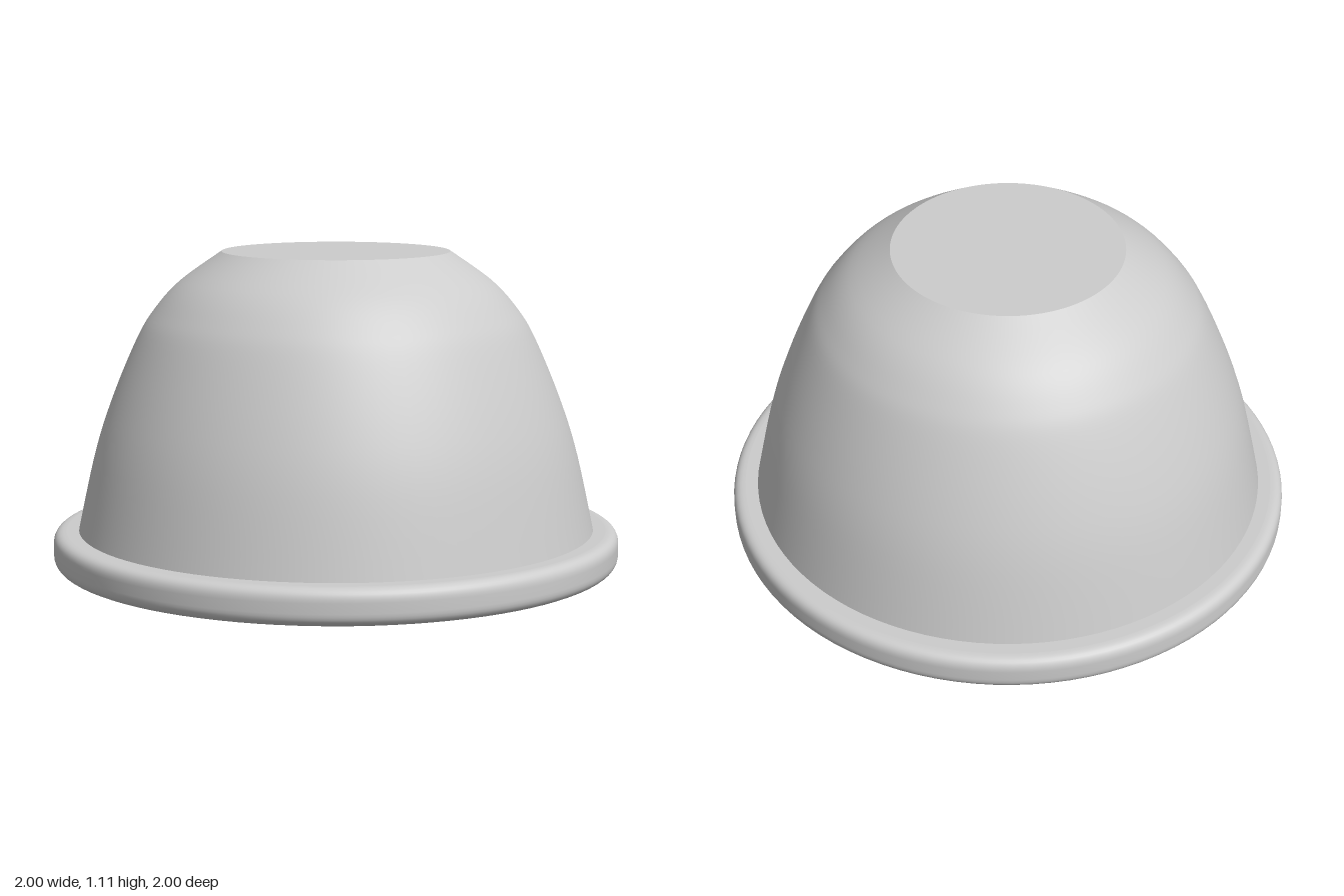
import * as THREE from 'three';

const SEGMENTS = 96;

export function createModel() {
  const group = new THREE.Group();
  const grey = new THREE.MeshStandardMaterial({ color: 0xcccccc });
  grey.name = 'light grey';

  const add = (name, geometry) => {
    const mesh = new THREE.Mesh(geometry, grey);
    mesh.name = name;
    group.add(mesh);
    return mesh;
  };
  const disc = (name, radius, y, facing) => {
    const mesh = add(name, new THREE.CircleGeometry(radius, SEGMENTS));
    mesh.rotation.x = -facing * Math.PI / 2;
    mesh.position.y = y;
  };

  // Curved dome wall, sunk slightly into the rim
  const wall = new THREE.SplineCurve([
    [0.915, 0.11], [0.85, 0.40], [0.785, 0.60], [0.70, 0.80],
    [0.64, 0.90], [0.55, 1.00], [0.40, 1.107],
  ].map(([x, y]) => new THREE.Vector2(x, y)));
  add('domeWall', new THREE.LatheGeometry(wall.getPoints(32), SEGMENTS));
  disc('domeTop', 0.40, 1.107, 1);

  // Rounded rim: lower curve, side, upper curve
  const rim = new THREE.Path();
  rim.moveTo(0.945, 0);
  rim.bezierCurveTo(0.985, 0.005, 1, 0.02, 1, 0.05);
  rim.lineTo(1, 0.085);
  rim.bezierCurveTo(1, 0.115, 0.985, 0.13, 0.955, 0.13);
  add('rimEdge', new THREE.LatheGeometry(rim.getPoints(8), SEGMENTS));

  // Flat ledge around the dome and the closed underside
  const ledge = add('rimLedge', new THREE.RingGeometry(0.89, 0.955, SEGMENTS));
  ledge.rotation.x = -Math.PI / 2;
  ledge.position.y = 0.13;
  disc('underside', 0.945, 0, -1);

  return group;
}
